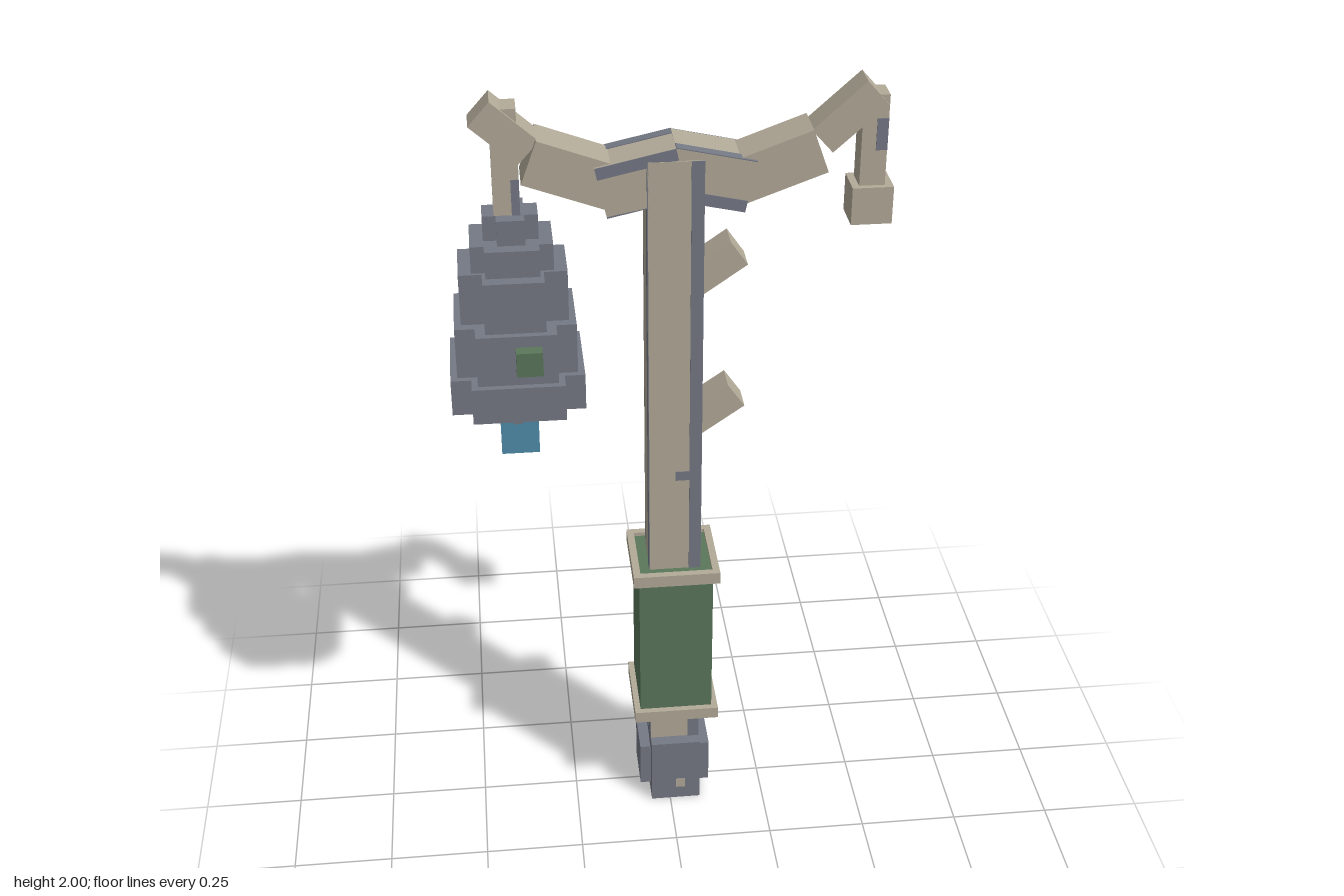
import * as THREE from 'three';

export function createModel() {
  const model = new THREE.Group();
  model.name = 'bellPost';
  const material = (name, color) => Object.assign(new THREE.MeshStandardMaterial({ color }), { name });
  const tan = material('weathered tan', 0xb3ab99);
  const slate = material('slate', 0x757985);
  const green = material('green', 0x5b775b);
  const blue = material('blue', 0x508dab);

  // Box given by its lower and upper limits
  function box(name, mat, [x0, x1], [y0, y1], [z0, z1], parent = model) {
    const mesh = new THREE.Mesh(new THREE.BoxGeometry(x1 - x0, y1 - y0, z1 - z0), mat);
    mesh.position.set((x0 + x1) / 2, (y0 + y1) / 2, (z0 + z1) / 2);
    mesh.name = name;
    parent.add(mesh);
    return mesh;
  }

  // Square beam between two points in the xy plane; worn beams get a slate strip on each side
  function beam(name, [ax, ay], [bx, by], width, depth, worn = 0) {
    const group = new THREE.Group();
    group.name = name;
    const length = Math.hypot(bx - ax, by - ay);
    const w = width / 2, d = depth / 2, h = length / 2, t = 0.002;
    box(name + 'Core', tan, [-w, w], [-h, h], [-d, d], group);
    if (worn) {
      for (const s of [1, -1]) {
        const range = (a, b) => [Math.min(a, b), Math.max(a, b)];
        box('wornStrip', slate, range(s * w, s * (w - worn)), [-h, h], range(s * (d - t), s * (d + t)), group);
        box('wornStrip', slate, range(s * (w - t), s * (w + t)), [-h, h], range(-s * d, -s * (d - worn)), group);
      }
    }
    group.position.set((ax + bx) / 2, (ay + by) / 2, 0);
    group.rotation.z = Math.atan2(by - ay, bx - ax) - Math.PI / 2;
    model.add(group);
  }

  const centre = 0.015; // x of the post axis

  // Foot: two crossing blocks
  box('footBlock', slate, [-0.05, 0.08], [0, 0.19], [-0.093, 0.093]);
  box('footCrossBlock', slate, [-0.078, 0.107], [0.035, 0.16], [-0.063, 0.063]);
  box('footChip', tan, [0.015, 0.04], [0.038, 0.065], [0.09, 0.095]);

  // Post
  beam('post', [centre, 0.15], [centre, 1.84], 0.128, 0.124, 0.03);
  box('postChip', slate, [0.015, 0.05], [1.005, 1.03], [0.06, 0.064]);

  // Green sleeve with a raised tan rim at each end
  box('sleeve', green, [-0.079, 0.108], [0.29, 0.742], [-0.093, 0.093]);
  for (const y of [0.285, 0.72]) {
    for (const s of [-1, 1]) {
      const x = centre + s * 0.1, z = s * 0.1;
      box('sleeveRimSide', tan, [x - 0.009, x + 0.009], [y, y + 0.032], [-0.109, 0.109]);
      box('sleeveRimEnd', tan, [-0.094, 0.124], [y, y + 0.032], [z - 0.009, z + 0.009]);
    }
  }

  // Arms: three bent segments on each side
  for (const s of [-1, 1]) {
    const p = (x, y) => [centre + s * (x - centre), y];
    beam('innerArm', p(0.002, 1.81), p(0.184, 1.77), 0.122, 0.118, 0.028);
    beam('middleArm', p(0.155, 1.778), p(0.341, 1.846), 0.108, 0.104);
    if (s > 0) beam('outerArm', [0.345, 1.863], [0.466, 1.972], 0.074, 0.074);
    else beam('outerArm', [-0.31, 1.863], [-0.415, 1.957], 0.074, 0.074);
  }

  // Pegs on the side of the post
  for (const y of [1.222, 1.598]) beam('peg', [0.045, y - 0.083], [0.164, y], 0.072, 0.074);

  // Hangers with worn patches
  box('leftHanger', tan, [0.435, 0.494], [1.73, 1.965], [-0.031, 0.031]);
  box('leftWeight', tan, [0.418, 0.513], [1.66, 1.75], [-0.045, 0.045]);
  box('rightHanger', tan, [-0.393, -0.333], [1.69, 1.965], [-0.031, 0.031]);
  for (const z of [-0.031, 0.031]) {
    box('hangerPatch', slate, [0.468, 0.494], [1.835, 1.91], [z - 0.002, z + 0.002]);
    box('hangerPatch', slate, [-0.352, -0.333], [1.715, 1.8], [z - 0.002, z + 0.002]);
  }

  // Bell: stepped tiers, each a cross of two boxes [bottom, top, wide, narrow]
  const bellX = -0.357;
  const tiers = [
    [1.25, 1.34, 0.156, 0.108],
    [1.34, 1.465, 0.14, 0.093],
    [1.465, 1.59, 0.124, 0.07],
    [1.59, 1.655, 0.094, 0.062],
    [1.655, 1.715, 0.063, 0.032],
  ];
  for (const [y0, y1, a, b] of tiers) {
    box('bellTierAcross', slate, [bellX - a, bellX + a], [y0, y1], [-b, b]);
    box('bellTierAlong', slate, [bellX - b, bellX + b], [y0, y1], [-a, a]);
  }
  box('clapper', blue, [-0.403, -0.312], [1.098, 1.27], [-0.045, 0.045]);
  box('clapperChip', slate, [-0.372, -0.35], [1.18, 1.205], [0.043, 0.047]);
  box('frontStud', green, [-0.36, -0.299], [1.377, 1.437], [0.12, 0.171]);
  box('backStud', green, [-0.421, -0.375], [1.405, 1.465], [-0.171, -0.12]);

  return model;
}
